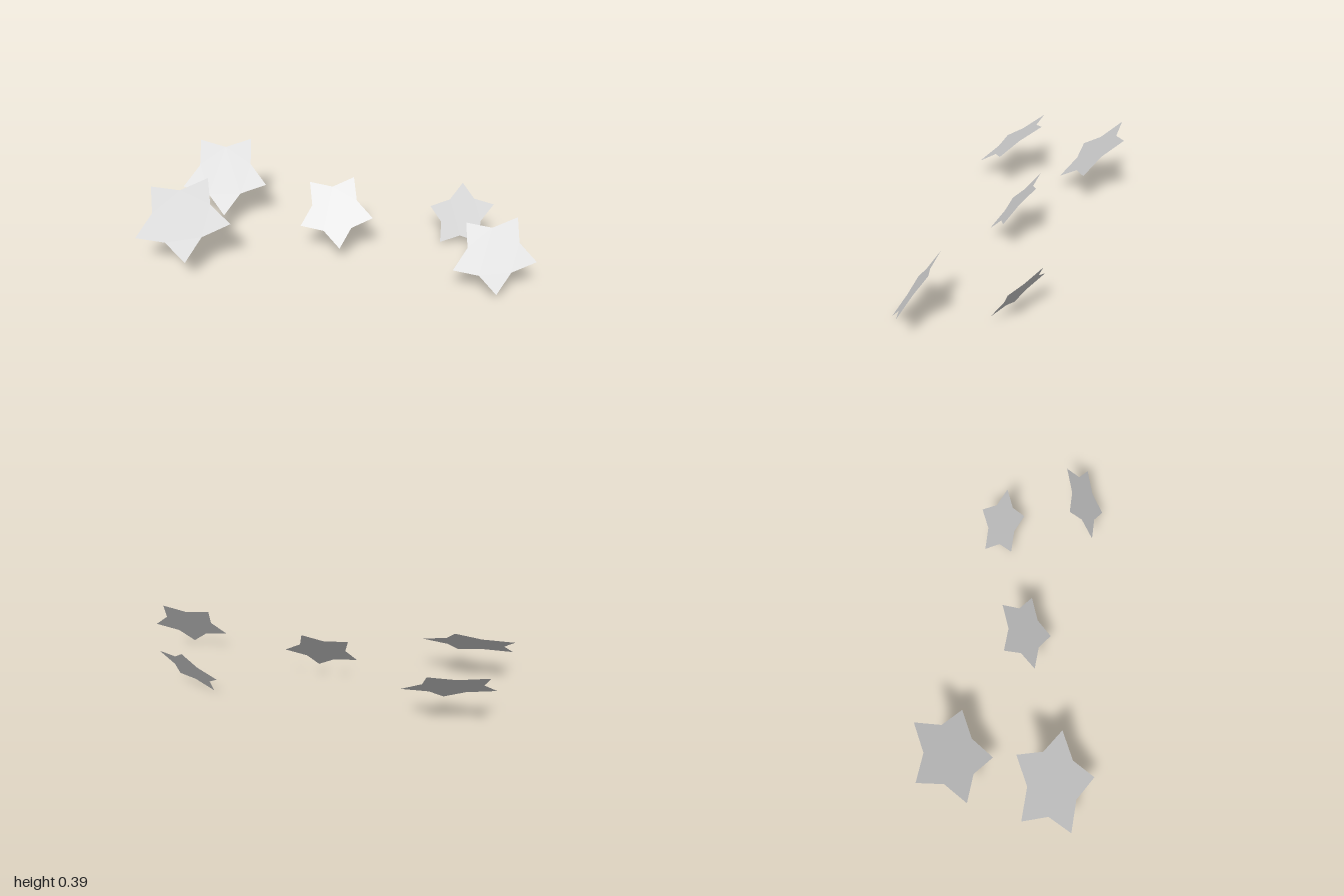
import * as THREE from 'three';

export function createModel() {
  const group = new THREE.Group();
  group.name = 'starCluster';

  const paleGrey = new THREE.MeshStandardMaterial({ color: 0xcccccc, side: THREE.DoubleSide });
  paleGrey.name = 'paleGrey';

  // Unit five-pointed star with its first tip on +x
  const points = [];
  for (let i = 0; i < 10; i++) {
    const r = i % 2 ? 0.62 : 1;
    const a = (i * Math.PI) / 5;
    points.push(new THREE.Vector2(r * Math.cos(a), r * Math.sin(a)));
  }
  const star = new THREE.ShapeGeometry(new THREE.Shape(points));

  // Each star: centre, vector to its first tip, and the in-plane vector across it
  const stars = {
    middleStar: [[-0.041, 0.235, -0.011], [0.2, -0.023, 0.003], [0.012, 0.153, -0.135]],
    frontRightStar: [[-0.786, 0.248, 0.251], [0.262, -0.007, 0.003], [-0.001, 0.147, -0.206]],
    backRightStar: [[-0.734, 0.262, -0.261], [0.239, -0.05, 0.004], [0.027, 0.16, -0.198]],
    frontLeftStar: [[0.788, 0.198, 0.185], [0.206, -0.026, -0.006], [0.034, 0.164, -0.12]],
    backLeftStar: [[0.6, 0.151, -0.245], [0.166, 0.087, 0.002], [-0.063, 0.123, -0.109]],
  };

  for (const [name, vectors] of Object.entries(stars)) {
    const [centre, along, across] = vectors.map((v) => new THREE.Vector3(...v));
    const normal = along.clone().cross(across).normalize();
    const placement = new THREE.Matrix4().makeBasis(along, across, normal).setPosition(centre);
    const mesh = new THREE.Mesh(star.clone().applyMatrix4(placement), paleGrey);
    mesh.name = name;
    group.add(mesh);
  }
  return group;
}
